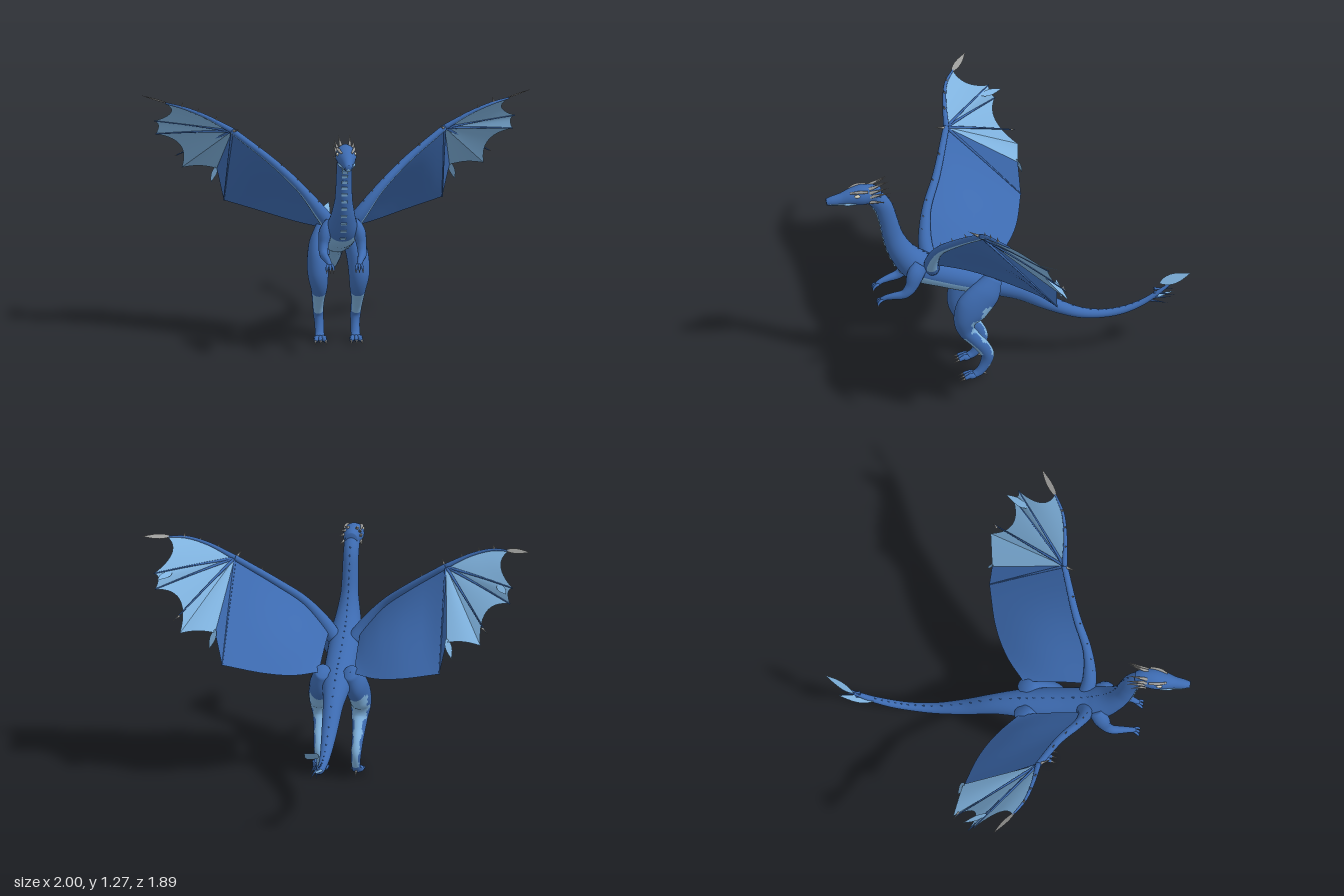
import * as THREE from 'three';

const mat = (name, color, side = THREE.FrontSide) => {
  const m = new THREE.MeshStandardMaterial({ color, side });
  m.name = name;
  return m;
};
const V = (x, y, z) => new THREE.Vector3(x, y, z);

export function createModel() {
  const blue = mat('scale blue', 0x3d6bb1, THREE.DoubleSide);
  const pale = mat('pale blue', 0x7fb2de, THREE.DoubleSide);
  const horn = mat('horn grey', 0x9a9a98, THREE.DoubleSide);
  const ivory = mat('eye ivory', 0xd6d2c0);

  const root = new THREE.Group();
  root.name = 'dragon';
  const add = (name, geo, m, parent = root) => {
    const mesh = new THREE.Mesh(geo, m);
    mesh.name = name;
    parent.add(mesh);
    return mesh;
  };

  // Tapered limb through rows [x, y, z, rWide, rDeep]; isPale(t, angle) picks the second colour
  const sweep = (rows, { steps = 24, sides = 16, ref = V(1, 0, 0), isPale = () => false } = {}) => {
    const curve = new THREE.CatmullRomCurve3(rows.map(r => V(r[0], r[1], r[2])));
    const radii = new THREE.CatmullRomCurve3(rows.map(r => V(r[3], r[4] ?? r[3], 0)));
    const pos = [], a = [], b = [];
    for (let i = -1; i <= steps + 1; i++) {
      const t = Math.min(Math.max(i / steps, 0), 1);
      const c = curve.getPoint(t), T = curve.getTangent(t);
      const r = radii.getPoint(t).multiplyScalar(i < 0 || i > steps ? 0.02 : 1);
      const S = ref.clone().addScaledVector(T, -ref.dot(T)).normalize();
      const N = T.clone().cross(S);
      for (let j = 0; j < sides; j++) {
        const q = j / sides * Math.PI * 2;
        const p = c.clone().addScaledVector(S, Math.cos(q) * r.x).addScaledVector(N, Math.sin(q) * r.y);
        pos.push(p.x, p.y, p.z);
        if (i > steps) continue;
        const k = (i + 1) * sides, n = (j + 1) % sides;
        (isPale(t, (j + 0.5) / sides * Math.PI * 2) ? b : a).push(
          k + j, k + n, k + sides + j, k + n, k + sides + n, k + sides + j);
      }
    }
    const g = new THREE.BufferGeometry();
    g.setAttribute('position', new THREE.Float32BufferAttribute(pos, 3));
    g.setIndex([...a, ...b]);
    g.addGroup(0, a.length, 0);
    g.addGroup(a.length, b.length, 1);
    g.computeVertexNormals();
    return g;
  };

  // Surface patch from a rule f(u, v)
  const patch = (f, nu = 14, nv = 10) => {
    const g = new THREE.PlaneGeometry(1, 1, nu, nv), p = g.attributes.position;
    for (let i = 0; i < p.count; i++) {
      const w = f(p.getX(i) + 0.5, p.getY(i) + 0.5);
      p.setXYZ(i, w.x, w.y, w.z);
    }
    g.computeVertexNormals();
    return g;
  };

  const spike = (name, from, to, r, m = horn, parent = root) => {
    const d = to.clone().sub(from), len = d.length();
    const mesh = add(name, new THREE.ConeGeometry(r, len, 8).translate(0, len / 2, 0), m, parent);
    mesh.position.copy(from);
    mesh.quaternion.setFromUnitVectors(V(0, 1, 0), d.normalize());
  };

  // Flat pointed leaf between two points, widened along side
  const leaf = (name, from, to, side, m, parent = root) => add(name, patch((u, v) =>
    from.clone().lerp(to, u).addScaledVector(side, (v - 0.5) * 2 * Math.sin(Math.PI * Math.pow(u, 0.8))), 10, 2), m, parent);

  // Neck, trunk and tail in one run, with a pale underside
  const spineRows = [
    [0, 1.095, 0.71, 0.04, 0.045], [0, 1.03, 0.65, 0.04, 0.047], [0, 0.94, 0.62, 0.041, 0.047],
    [0, 0.84, 0.595, 0.045, 0.052], [0, 0.74, 0.55, 0.062, 0.066], [0, 0.65, 0.47, 0.082, 0.082],
    [0, 0.59, 0.33, 0.082, 0.075], [0, 0.54, 0.18, 0.08, 0.072], [0, 0.505, 0.07, 0.072, 0.066],
    [0, 0.445, -0.07, 0.052, 0.054], [0, 0.35, -0.22, 0.04, 0.038], [0, 0.278, -0.375, 0.028, 0.028],
    [0, 0.26, -0.5, 0.022, 0.022], [0, 0.27, -0.6, 0.02, 0.02], [0, 0.305, -0.7, 0.016, 0.016],
    [0, 0.355, -0.78, 0.012, 0.012], [0, 0.405, -0.85, 0.006, 0.006]];
  add('body', sweep(spineRows, {
    steps: 96, sides: 32,
    isPale: (t, q) => t > 0.3 && t < 0.72 && Math.abs(q - Math.PI / 2) < (t < 0.5 ? 1.4 : 0.8)
  }), [blue, pale]);

  // Throat plates and dorsal spines follow the body path
  const path = new THREE.CatmullRomCurve3(spineRows.map(r => V(r[0], r[1], r[2])));
  const width = new THREE.CatmullRomCurve3(spineRows.map(r => V(r[3], r[4], 0)));
  for (let i = 0; i < 38; i++) {
    const t = 0.05 + i * 0.022, c = path.getPoint(t), T = path.getTangent(t);
    const up = V(1, 0, 0).cross(T), r = width.getPoint(t).y;
    spike('dorsalSpine', c.clone().addScaledVector(up, r - 0.006),
      c.clone().addScaledVector(up, r + 0.007).addScaledVector(T, 0.016), 0.006, blue);
    if (t < 0.31) {
      const plate = add('throatPlate', new THREE.BoxGeometry(0.03, 0.014, 0.008), pale);
      plate.position.copy(c).addScaledVector(up, 0.001 - r);
      plate.rotation.x = Math.atan2(-T.z, -T.y);
    }
  }

  // Tail tip: leaf blades and barbs
  leaf('tailBlade', V(-0.015, 0.4, -0.79), V(0.035, 0.475, -0.945), V(-0.026, 0.014, 0.006), pale);
  leaf('lowerTailBlade', V(-0.015, 0.31, -0.69), V(-0.018, 0.345, -0.87), V(-0.02, 0, 0), pale);
  for (const [x, y, z] of [[0.02, 0.30, -0.83], [-0.02, 0.31, -0.86], [0.015, 0.34, -0.87], [-0.02, 0.36, -0.87]])
    spike('tailBarb', V(0, y + 0.02, z + 0.11), V(x, y, z), 0.008, blue);

  // Head with pale lower jaw
  add('head', sweep([
    [0, 1.095, 0.66, 0.03, 0.036], [0, 1.1, 0.70, 0.046, 0.05], [0, 1.1, 0.755, 0.054, 0.053],
    [0, 1.093, 0.81, 0.045, 0.045], [0, 1.083, 0.86, 0.031, 0.034], [0, 1.077, 0.91, 0.024, 0.026],
    [0, 1.074, 0.94, 0.017, 0.017]], {
    steps: 30, sides: 24, isPale: (t, q) => t > 0.4 && Math.abs(q - 4.71) < 0.9
  }), [blue, pale]);
  for (const s of [1, -1]) {
    add('mouthLine', sweep([[s * 0.044, 1.07, 0.79, 0.004], [s * 0.031, 1.067, 0.855, 0.004],
      [s * 0.023, 1.068, 0.91, 0.003], [s * 0.014, 1.069, 0.94, 0.003]], { sides: 6 }), pale);
    const eye = add('eye', new THREE.SphereGeometry(0.011, 12, 8), ivory);
    eye.position.set(s * 0.045, 1.117, 0.785);
    eye.scale.set(0.7, 0.8, 1.5);
    add('brow', sweep([[s * 0.026, 1.128, 0.82, 0.005], [s * 0.039, 1.137, 0.78, 0.008],
      [s * 0.044, 1.137, 0.73, 0.006]], { steps: 10, sides: 8 }), horn);
    for (const [x0, y0, x1, y1, z1] of [[0.022, 1.14, 0.03, 1.182, 0.62], [0.036, 1.125, 0.052, 1.158, 0.62],
      [0.04, 1.105, 0.058, 1.13, 0.61], [0.04, 1.075, 0.058, 1.075, 0.64]])
      spike('headHorn', V(s * x0, y0, 0.72), V(s * x1, y1, z1), 0.01);
  }

  for (const s of [1, -1]) {
    const P = (x, y, z) => V(s * x, y, z);
    const R = rows => rows.map(([x, ...rest]) => [s * x, ...rest]);
    const side = s > 0 ? 'left' : 'right';

    // Hind leg with pale patches down the back and over the front of the shin
    const leg = new THREE.Group();
    leg.name = side + 'HindLeg';
    root.add(leg);
    add('leg', sweep(R([
      [0.07, 0.578, 0.08, 0.038, 0.045], [0.09, 0.5, 0.13, 0.055, 0.08], [0.103, 0.43, 0.195, 0.056, 0.088],
      [0.105, 0.36, 0.235, 0.053, 0.062], [0.1, 0.295, 0.23, 0.043, 0.045], [0.1, 0.235, 0.185, 0.034, 0.038],
      [0.098, 0.18, 0.14, 0.029, 0.037], [0.095, 0.13, 0.118, 0.027, 0.034], [0.092, 0.08, 0.13, 0.024, 0.028],
      [0.092, 0.035, 0.16, 0.024, 0.022], [0.092, 0.018, 0.19, 0.026, 0.016]]), {
      steps: 60, sides: 32,
      isPale: (t, q) => (t > 0.12 && t < 0.82 && Math.abs(q - 4.71) < (t < 0.42 ? 1 : 0.7) + 0.2 * Math.sin(t * 50)) ||
        (t > 0.43 && t < 0.64 && Math.abs(q - Math.PI / 2) < 1)
    }), [blue, pale], leg);
    for (const k of [-1, 0, 1]) {
      const x = 0.092 + k * 0.02;
      add('toe', sweep(R([[0.092 + k * 0.012, 0.018, 0.18, 0.012], [x, 0.02, 0.215, 0.012],
        [x + k * 0.006, 0.012, 0.238, 0.01]]), { steps: 8, sides: 8 }), blue, leg);
      spike('toeClaw', P(x + k * 0.006, 0.014, 0.234), P(x + k * 0.01, 0.001, 0.268), 0.007, horn, leg);
    }
    spike('heelClaw', P(0.092, 0.03, 0.14), P(0.092, 0.006, 0.115), 0.008, horn, leg);

    // Foreleg
    const arm = new THREE.Group();
    arm.name = side + 'Foreleg';
    root.add(arm);
    add('arm', sweep(R([[0.06, 0.68, 0.46, 0.03, 0.045], [0.085, 0.645, 0.49, 0.034, 0.045],
      [0.097, 0.58, 0.515, 0.026, 0.033], [0.099, 0.542, 0.55, 0.023, 0.025], [0.09, 0.53, 0.6, 0.019, 0.019],
      [0.08, 0.518, 0.645, 0.014, 0.014], [0.075, 0.505, 0.665, 0.013, 0.012]]), { sides: 14 }), blue, arm);
    for (const k of [-1, 0, 1]) {
      add('finger', sweep(R([[0.075 + k * 0.006, 0.51, 0.655, 0.008], [0.075 + k * 0.016, 0.5, 0.678, 0.007],
        [0.075 + k * 0.018, 0.485, 0.686, 0.006]]), { steps: 6, sides: 8 }), blue, arm);
      spike('fingerClaw', P(0.075 + k * 0.018, 0.488, 0.686), P(0.075 + k * 0.018, 0.465, 0.684), 0.005, horn, arm);
    }

    // Wing arm and leading finger, pale along the underside
    const wing = new THREE.Group();
    wing.name = side + 'Wing';
    root.add(wing);
    const wrist = P(0.545, 1.12, 0.225), heel = P(0.56, 0.67, -0.165);
    const lead = new THREE.CatmullRomCurve3([P(0.08, 0.69, 0.4), P(0.12, 0.745, 0.41), P(0.2, 0.84, 0.385),
      P(0.34, 0.965, 0.31), wrist]);
    const trail = new THREE.CatmullRomCurve3([P(0.09, 0.575, 0.07), P(0.21, 0.585, -0.03), P(0.35, 0.615, -0.105), heel]);
    const ref = V(0, 0, 1);
    const under = (t, q) => t > 0.1 && Math.abs(q - (s > 0 ? 1.57 : 4.71)) < 0.8;
    add('wingArm', sweep(R([[0.05, 0.65, 0.4, 0.04], [0.1, 0.72, 0.41, 0.036], [0.2, 0.845, 0.387, 0.024],
      [0.34, 0.97, 0.31, 0.02], [0.545, 1.122, 0.225, 0.016]]), { ref, isPale: under }), [blue, pale], wing);
    const leadRows = R([[0.545, 1.122, 0.225, 0.015], [0.68, 1.195, 0.212, 0.01],
      [0.79, 1.235, 0.185, 0.008], [0.88, 1.25, 0.135, 0.005]]);
    add('leadingFinger', sweep(leadRows, { ref, sides: 12, isPale: under }), [blue, pale], wing);
    leaf('wingTipClaw', P(0.86, 1.25, 0.145), P(1, 1.275, 0.05), V(0, 0.008, 0.016), horn, wing);

    // Wing fingers
    const tips = [P(0.88, 1.25, 0.135), P(0.925, 1.115, -0.06), P(0.915, 1.04, -0.09),
      P(0.775, 0.84, -0.185), P(0.597, 0.84, -0.155)];
    for (const tip of [tips[1], tips[2], P(0.8, 0.91, -0.17), heel]) {
      const mid = wrist.clone().lerp(tip, 0.5);
      add('wingFinger', sweep([[...wrist.toArray(), 0.008], [mid.x, mid.y + 0.003, mid.z, 0.005],
        [...tip.toArray(), 0.003]], { ref, steps: 10, sides: 8 }), blue, wing);
    }

    // Broad inner membrane, bulging up and back, with a narrow strip past the last finger
    add('innerMembrane', patch((u, v) => {
      const bulge = Math.sin(Math.PI * v) * Math.sin(Math.PI * Math.min(u + 0.1, 1)) * 0.035;
      return lead.getPoint(u).lerp(trail.getPoint(u), v).add(V(0, bulge, -bulge * 0.6));
    }, 20, 12), blue, wing);
    add('membraneStrip', patch((u, v) => wrist.clone().lerp(heel.clone().lerp(tips[4], u), v), 2, 6), blue, wing);

    // Scalloped outer webs between the fingers; the first one follows the curved leading finger
    const leadFinger = new THREE.CatmullRomCurve3(leadRows.map(r => V(r[0], r[1], r[2])));
    [0.3, 0.09, 0.36, 0].forEach((pull, i) => {
      const A = tips[i], B = tips[i + 1];
      const edge = new THREE.QuadraticBezierCurve3(A, A.clone().lerp(B, 0.5).lerp(wrist, pull), B);
      add('outerWeb', patch((u, v) => {
        const p = wrist.clone().lerp(edge.getPoint(u), v);
        if (i === 0) p.addScaledVector(leadFinger.getPoint(v).sub(wrist.clone().lerp(A, v)), 1 - u);
        return p.add(V(0, 0.012 * Math.sin(Math.PI * u) * v, 0));
      }), pale, wing);
    });
    leaf('webLobe', P(0.595, 0.86, -0.15), P(0.625, 0.76, -0.18), V(s * 0.016, 0, 0.01), pale, wing);
    leaf('webLobe', P(0.84, 1.11, 0.0), P(0.9, 1.1, -0.12), V(s * 0.018, 0.008, 0), pale, wing);

    // Thumb claw and small spurs along the leading edge
    spike('thumbClaw', P(0.54, 1.12, 0.23), P(0.515, 1.142, 0.29), 0.009, horn, wing);
    spike('fingerSpur', P(0.78, 0.925, -0.155), P(0.815, 0.9, -0.18), 0.006, horn, wing);
    for (const t of [0.28, 0.42, 0.56, 0.7, 0.85]) {
      const p = lead.getPoint(t);
      spike('wingSpur', p, p.clone().add(V(-s * 0.014, 0.038, 0.016)), 0.008, horn, wing);
    }
    for (const [x, y, z] of [[0.63, 1.17, 0.217], [0.72, 1.21, 0.203], [0.8, 1.238, 0.18]])
      spike('wingSpur', P(x, y, z), P(x - 0.006, y + 0.03, z + 0.008), 0.007, horn, wing);
  }
  return root;
}
